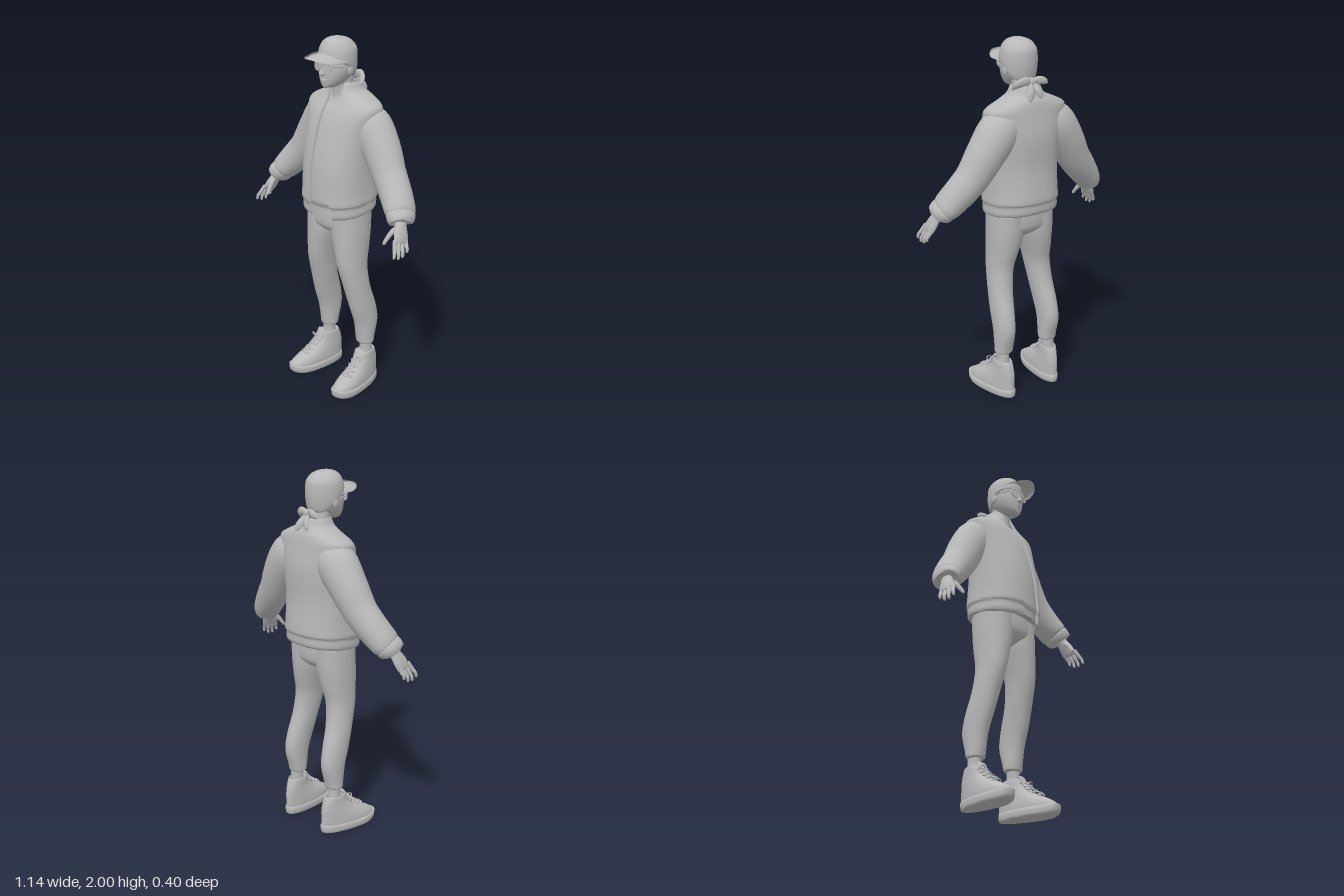
import * as THREE from 'three';
import { toCreasedNormals } from 'three/addons/utils/BufferGeometryUtils.js';

const V = (x, y, z) => new THREE.Vector3(x, y, z);
const clamp = THREE.MathUtils.clamp;

// Smoothly interpolate a table of key rows, n steps per span
function smooth(rows, n = 4) {
  const out = [];
  for (let i = 0; i < rows.length - 1; i++) {
    const p = [rows[Math.max(i - 1, 0)], rows[i], rows[i + 1], rows[Math.min(i + 2, rows.length - 1)]];
    for (let k = 0; k < n; k++) {
      const t = k / n;
      out.push(p[1].map((b, c) => {
        const a = p[0][c], d = p[2][c], e = p[3][c];
        return b + 0.5 * t * (d - a + t * (2 * a - 5 * b + 4 * d - e + t * (3 * (b - d) + e - a)));
      }));
    }
  }
  out.push(rows[rows.length - 1]);
  return out;
}

// Skin a list of closed point rings and cap both ends
function skin(rings, caps = true, crease = 0.9) {
  const n = rings[0].length, pos = [], idx = [];
  rings.forEach(r => r.forEach(p => pos.push(p.x, p.y, p.z)));
  for (let i = 0; i < rings.length - 1; i++) {
    for (let j = 0; j < n; j++) {
      const a = i * n + j, b = i * n + (j + 1) % n;
      idx.push(a, b, a + n, b, b + n, a + n);
    }
  }
  if (caps) {
    [0, rings.length - 1].forEach((r, end) => {
      const c = rings[r].reduce((s, p) => s.add(p), V(0, 0, 0)).divideScalar(n);
      const ci = pos.length / 3;
      pos.push(c.x, c.y, c.z);
      for (let j = 0; j < n; j++) {
        const a = r * n + j, b = r * n + (j + 1) % n;
        if (end) idx.push(ci, a, b); else idx.push(ci, b, a);
      }
    });
  }
  const g = new THREE.BufferGeometry();
  g.setAttribute('position', new THREE.Float32BufferAttribute(pos, 3));
  g.setIndex(idx);
  return toCreasedNormals(g, crease);
}

const power = (c, p) => Math.sign(c) * Math.abs(c) ** (2 / p);

// Loft of rows [x, y, z, halfWidth, halfDepth]; flat rings run from top to bottom
function loft(rows, { flat = true, p = 2, sides = 28, steps = 4, warp } = {}) {
  const rs = smooth(rows, steps);
  return skin(rs.map((r, i) => {
    const t = V(0, -1, 0);
    if (!flat) {
      const a = rs[Math.max(i - 1, 0)], b = rs[Math.min(i + 1, rs.length - 1)];
      t.set(b[0] - a[0], b[1] - a[1], b[2] - a[2]).normalize();
    }
    const v = V(0, 0, 1).addScaledVector(t, -t.z).normalize(), u = v.clone().cross(t);
    return Array.from({ length: sides }, (_, j) => {
      const q = j / sides * Math.PI * 2;
      const pt = V(r[0], r[1], r[2]).addScaledVector(u, r[3] * power(Math.cos(q), p))
        .addScaledVector(v, r[4] * power(Math.sin(q), p));
      if (warp) warp(pt);
      return pt;
    });
  }));
}

const tube = (pts, r, n = 12) =>
  new THREE.TubeGeometry(new THREE.CatmullRomCurve3(pts.map(q => V(...q))), n, r, 8);
const ball = (x, y, z, a, b, c) => new THREE.SphereGeometry(1, 20, 14).scale(a, b, c).translate(x, y, z);

// Copy of a geometry reflected in x, with its winding restored
function mirrored(geo) {
  const g = (geo.index ? geo.toNonIndexed() : geo.clone()).scale(-1, 1, 1);
  for (const name of ['position', 'normal']) {
    const a = g.attributes[name];
    for (let i = 0; i < a.count; i += 3) {
      const q = V().fromBufferAttribute(a, i + 1), r = V().fromBufferAttribute(a, i + 2);
      a.setXYZ(i + 1, r.x, r.y, r.z);
      a.setXYZ(i + 2, q.x, q.y, q.z);
    }
  }
  return g;
}

export function createModel() {
  const model = new THREE.Group();
  const clay = new THREE.MeshStandardMaterial({ color: 0xb8b8b8 });
  clay.name = 'clay grey';
  const add = (name, geo) => {
    const m = new THREE.Mesh(geo, clay);
    m.name = name;
    model.add(m);
  };
  const pair = (name, geo) => { add(name + 'Left', geo); add(name + 'Right', mirrored(geo)); };

  // Open jacket: [y, z, halfWidth, halfDepth, thickness]
  const body = [[1.765, -.06, .074, .07, .001], [1.755, -.06, .08, .076, .012], [1.72, -.06, .1, .088, .014],
    [1.69, -.065, .165, .1, .014], [1.655, -.06, .232, .113, .014], [1.61, -.048, .238, .132, .014],
    [1.5, -.035, .212, .16, .014], [1.34, -.013, .2, .175, .014], [1.2, -.012, .2, .186, .014],
    [1.14, -.012, .204, .189, .014], [1.125, -.012, .198, .181, .014], [1.085, -.012, .2, .18, .014],
    [1.068, -.012, .194, .172, .012], [1.065, -.012, .186, .165, .001]];
  const P = 2.35, N = 56;
  const dip = q => { if (q.y < 1.3) q.y -= .1 * q.z * (1.3 - q.y) / .23; };
  add('jacket', skin(smooth(body, 3).map(([y, z, a, b, th]) => {
    const angle = x => Math.acos(Math.sign(x) * Math.abs(clamp(x / a, -.9, .9)) ** (P / 2));
    const q0 = angle(-.038), q1 = Math.PI * 2 + angle(.05 + .06 * clamp((1.68 - y) / .6, 0, 1));
    const ring = [];
    for (let k = 0; k < 2 * N; k++) {
      const inner = k >= N, q = q0 + (q1 - q0) * (inner ? 2 * N - 1 - k : k) / (N - 1), d = inner ? th : 0;
      const pt = V((a - d) * power(Math.cos(q), P), y, z + (b - d) * power(Math.sin(q), P));
      dip(pt);
      ring.push(pt);
    }
    return ring;
  }), false));

  // Shirt under the jacket
  add('shirt', loft(body.slice(3, 12).map(([y, z, a, b]) => [0, y, z, a - .017, b - .017]), { p: P, sides: 48, warp: dip }));

  // Sleeves with gathered cuffs
  pair('sleeve', loft([[.11, 1.6, -.065, .07, .085], [.175, 1.545, -.075, .113, .105], [.255, 1.44, -.073, .105, .101],
    [.325, 1.33, -.06, .093, .091], [.375, 1.27, -.047, .088, .087], [.42, 1.22, -.03, .082, .086],
    [.463, 1.172, -.01, .071, .086], [.478, 1.155, -.002, .058, .076]], { flat: false, steps: 5 }));
  pair('cuff', loft([[.467, 1.168, -.005, .05, .06], [.472, 1.161, -.002, .062, .08], [.488, 1.143, .006, .064, .08],
    [.5, 1.128, .01, .058, .072], [.502, 1.125, .011, .045, .055]], { flat: false }));

  // Hands
  pair('palm', loft([[.485, 1.15, .01, .028, .034], [.503, 1.115, .025, .024, .034], [.522, 1.075, .042, .021, .044],
    [.537, 1.04, .055, .015, .043], [.54, 1.032, .057, .006, .03]], { flat: false, sides: 18 }));
  for (let i = 0; i < 4; i++) {
    const z = .02 + i * .024, l = [.052, .07, .072, .06][i];
    pair('finger' + (i + 1), loft([[.531, 1.06, z, .011, .012], [.548, 1.045 - l * .4, z + .008 + i * .004, .0105, .011],
      [.56, 1.045 - l * .75, z + .013 + i * .006, .009, .009], [.561, 1.04 - l, z + .015 + i * .007, .007, .007],
      [.561, 1.036 - l, z + .015 + i * .007, .001, .001]], { flat: false, sides: 10 }));
  }
  pair('thumb', loft([[.5, 1.11, .04, .014, .016], [.49, 1.085, .075, .014, .015], [.481, 1.055, .1, .011, .011],
    [.476, 1.03, .117, .008, .008], [.475, 1.025, .119, .001, .001]], { flat: false, sides: 10 }));

  // Trousers
  add('hips', loft([[0, 1.1, -.01, .185, .12], [0, 1.0, -.008, .187, .121], [0, .96, -.006, .15, .1], [0, .925, -.005, .06, .05]], { p: 2.3, sides: 36 }));
  pair('trouserLeg', loft([[.096, 1.07, -.01, .095, .118], [.098, .95, -.006, .095, .115], [.111, .85, 0, .08, .105],
    [.124, .75, .005, .068, .09], [.137, .62, -.018, .063, .08], [.147, .5, -.052, .058, .083], [.151, .4, -.075, .054, .075],
    [.151, .3, -.071, .051, .054], [.152, .268, -.07, .05, .047], [.152, .262, -.07, .036, .036]], { p: 2.15 }));
  pair('ankle', loft([[.155, .29, -.07, .033, .038], [.157, .23, -.072, .033, .037], [.158, .18, -.07, .036, .042]]));

  // High-top shoes, made toe-forward and turned slightly out
  const place = g => g.rotateY(.13).translate(.158, 0, -.07);
  const foot = q => { q.x *= 1 + .28 * clamp(q.z / .26, -.25, 1); };
  pair('shoeUpper', place(loft([[0, .19, 0, .03, .045], [0, .213, 0, .036, .055], [0, .208, 0, .042, .063],
    [0, .17, .003, .044, .08], [0, .13, .025, .048, .11], [0, .095, .062, .053, .148], [0, .065, .085, .056, .171],
    [0, .035, .09, .056, .176]], { p: 2.2, sides: 36, warp: foot })));
  pair('shoeSole', place(loft([[0, .046, .092, .054, .173], [0, .043, .092, .06, .182], [0, .012, .092, .06, .18],
    [0, .001, .09, .056, .172], [0, 0, .09, .052, .165]], {
    p: 2.3, sides: 40, steps: 2,
    warp: q => { foot(q); if (q.z > .16) q.y += .012 * ((q.z - .16) / .11) ** 2; }
  })));
  pair('shoeTongue', place(loft([[0, .232, .052, .02, .006], [0, .222, .055, .03, .009], [0, .18, .075, .03, .012], [0, .14, .11, .026, .012]], { sides: 16 })));
  const eyelets = [[.112, .182], [.13, .152], [.15, .122], [.17, .1], [.19, .082]];
  eyelets.forEach(([y, z], i) => {
    pair('lace' + i, place(tube([[-.036, y - .003, z - .022], [0, y + .006, z + .004], [.036, y - .003, z - .022]], .0035)));
    const next = eyelets[i + 1];
    if (next) for (const s of [-1, 1]) {
      pair('crossLace' + i, place(tube([[-s * .034, y, z - .018], [0, (y + next[0]) / 2 + .008, (z + next[1]) / 2 + .006],
        [s * .034, next[0], next[1] - .018]], .003)));
    }
  });
  pair('laceBow', place(tube([[0, .195, .085], [.03, .205, .095], [.042, .19, .088], [.02, .187, .088], [0, .195, .085]], .003, 20)));

  // Neck and head
  add('neck', loft([[0, 1.82, -.02, .058, .06], [0, 1.74, -.035, .055, .06], [0, 1.69, -.045, .062, .068], [0, 1.65, -.05, .09, .08]]));
  add('head', loft([[0, 1.95, 0, .07, .08], [0, 1.9, .003, .089, .1], [0, 1.86, .005, .09, .1], [0, 1.83, .01, .087, .096],
    [0, 1.795, .021, .074, .084], [0, 1.765, .036, .053, .066], [0, 1.748, .05, .03, .045], [0, 1.744, .05, .012, .02]], { p: 2.15, sides: 36 }));
  add('nose', loft([[0, 1.865, .102, .008, .007], [0, 1.84, .106, .01, .012], [0, 1.82, .108, .016, .018], [0, 1.811, .104, .014, .012]], { sides: 14 }));
  add('upperLip', ball(0, 1.789, .1, .021, .005, .01));
  add('lowerLip', ball(0, 1.78, .099, .018, .006, .01));
  add('chin', ball(0, 1.758, .082, .024, .015, .02));
  pair('ear', ball(.09, 1.838, -.005, .01, .027, .018));

  // Glasses
  pair('lens', new THREE.CylinderGeometry(.027, .027, .004, 24).rotateX(Math.PI / 2).scale(1.05, .9, 1).rotateY(.25).translate(.036, 1.858, .109));
  pair('lensRim', new THREE.TorusGeometry(.028, .0035, 8, 28).scale(1.05, .9, 1).rotateY(.25).translate(.036, 1.858, .109));
  add('glassesBridge', tube([[-.012, 1.868, .115], [0, 1.872, .118], [.012, 1.868, .115]], .003));
  pair('templeArm', tube([[.063, 1.866, .102], [.083, 1.863, .06], [.094, 1.858, 0]], .003));

  // Cap with a low back, brim and button
  add('cap', loft([[0, 2, .01, .006, .006], [0, 1.996, .008, .036, .04], [0, 1.98, .004, .068, .074], [0, 1.95, 0, .09, .097],
    [0, 1.915, -.001, .1, .106], [0, 1.885, -.001, .101, .105], [0, 1.878, -.001, .09, .094]], {
    sides: 40, steps: 5,
    warp: q => {
      const k = clamp((1.94 - q.y) / .06, 0, 1), back = THREE.MathUtils.smoothstep(-q.z, -.06, .09);
      q.y -= .09 * k * back;
      const tuck = 1 - .14 * back * k * k;
      q.x *= tuck;
      q.z *= tuck;
    }
  }));
  const brim = [];
  for (let i = 0; i <= 28; i++) {
    const u = 1 - i / 14, w = Math.sqrt(Math.max(0, 1 - u * u)), x = .1 * u;
    const zi = .03 + .055 * w, zo = .035 + .167 * w ** .8, yi = 1.932 - .042 * u * u, yo = 1.912 - .026 * u * u, h = .005;
    brim.push([V(x, yi + h, zi), V(x, (yi + yo) / 2 + h + .006 * w, (zi + zo) / 2), V(x, yo + h, zo), V(x, yo - h, zo),
      V(x, (yi + yo) / 2 - h + .006 * w, (zi + zo) / 2), V(x, yi - h, zi)]);
  }
  add('capBrim', skin(brim.reverse().map(r => r.reverse())));
  add('capButton', ball(0, 1.987, -.04, .009, .006, .009));

  // Knot and tails at the nape
  add('knot', ball(0, 1.785, -.112, .025, .024, .022));
  const tail = (name, pts) => add(name, loft(pts, { flat: false, sides: 14 }));
  tail('knotLoopLeft', [[0, 1.785, -.11, .012, .012], [.04, 1.795, -.12, .022, .012], [.078, 1.775, -.1, .02, .012], [.092, 1.75, -.075, .004, .004]]);
  tail('knotLoopRight', [[0, 1.785, -.112, .012, .01], [-.035, 1.795, -.128, .02, .012], [-.07, 1.785, -.135, .018, .011], [-.088, 1.772, -.132, .004, .004]]);
  tail('knotTailLeft', [[.005, 1.78, -.12, .01, .008], [.02, 1.745, -.145, .02, .01], [.035, 1.715, -.157, .02, .008], [.04, 1.695, -.165, .004, .004]]);
  tail('knotTailRight', [[-.005, 1.78, -.12, .01, .008], [-.018, 1.75, -.145, .018, .01], [-.03, 1.72, -.155, .016, .008], [-.036, 1.705, -.16, .004, .004]]);
  return model;
}
